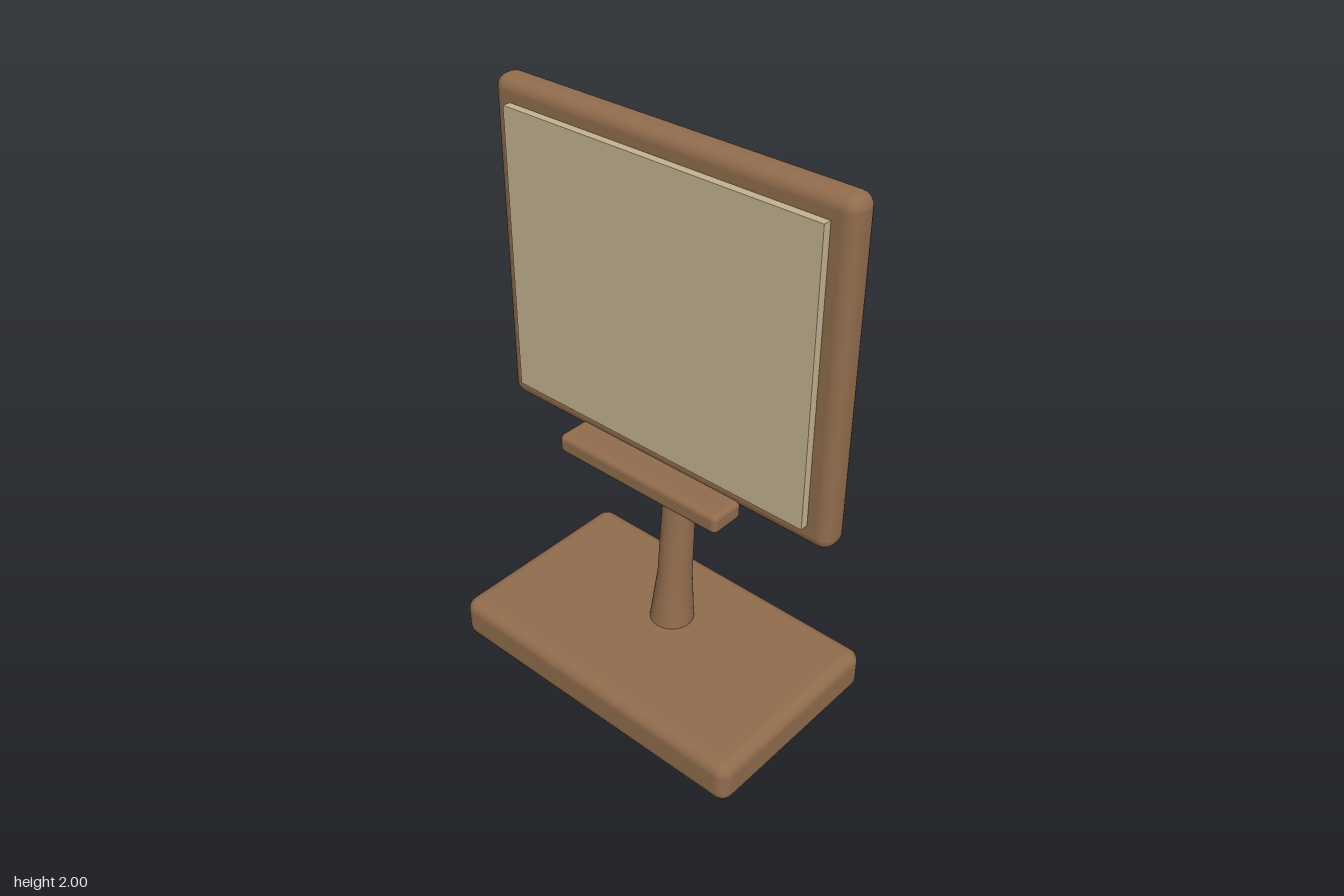
import * as THREE from 'three';
import { RoundedBoxGeometry } from 'three/addons/geometries/RoundedBoxGeometry.js';

const wood = new THREE.MeshStandardMaterial({ color: 0x916c4d });
wood.name = 'brown wood';
const paper = new THREE.MeshStandardMaterial({ color: 0xc2b28f });
paper.name = 'beige paper';

function addPart(group, name, geometry, material, x, y, z) {
  const mesh = new THREE.Mesh(geometry, material);
  mesh.name = name;
  mesh.position.set(x, y, z);
  group.add(mesh);
}

// Box with softened edges, given by its y and z extents and centred on x
function addSlab(group, name, width, [y0, y1], [z0, z1], radius) {
  const geometry = new RoundedBoxGeometry(width, y1 - y0, z1 - z0, 3, radius);
  addPart(group, name, geometry, wood, 0, (y0 + y1) / 2, (z0 + z1) / 2);
}

// Round tapered post whose rings [y, centre z, radius] drift backwards
function postGeometry(rings) {
  const bottom = rings[0][0];
  const height = rings[rings.length - 1][0] - bottom;
  const sides = 32;
  const geometry = new THREE.CylinderGeometry(1, 1, height, sides, rings.length - 1);
  const p = geometry.attributes.position;
  for (let i = 0; i < p.count; i++) {
    // Rows of the wall run from top to bottom, then the two caps follow
    const wallCount = (sides + 1) * rings.length;
    const row = i < wallCount
      ? rings.length - 1 - Math.floor(i / (sides + 1))
      : p.getY(i) > 0 ? rings.length - 1 : 0;
    const [y, z, r] = rings[row];
    const dz = p.getZ(i) * r;
    p.setXYZ(i, p.getX(i) * r, y + dz * 0.06, z + dz);
  }
  geometry.computeVertexNormals();
  // Close the shading seam where the wall meets itself
  const n = geometry.attributes.normal;
  for (let row = 0; row < rings.length; row++) {
    const a = row * (sides + 1), b = a + sides;
    const v = new THREE.Vector3().fromBufferAttribute(n, a)
      .add(new THREE.Vector3().fromBufferAttribute(n, b)).normalize();
    n.setXYZ(a, v.x, v.y, v.z);
    n.setXYZ(b, v.x, v.y, v.z);
  }
  return geometry;
}

export function createModel() {
  const model = new THREE.Group();
  model.name = 'bookStand';

  // Heavy foot
  addSlab(model, 'base', 1.22, [0, 0.16], [-0.372, 0.372], 0.045);

  // Leaning post with a flared foot
  const post = postGeometry([
    [0.14, -0.068, 0.08],
    [0.35, -0.084, 0.061],
    [0.65, -0.102, 0.057],
    [0.95, -0.121, 0.053],
  ]);
  addPart(model, 'post', post, wood, 0, 0, 0);

  // Upright board and the ledge below it
  addSlab(model, 'backBoard', 1.35, [0.85, 2], [-0.095, 0.01], 0.045);
  addSlab(model, 'ledge', 0.674, [0.81, 0.88], [-0.01, 0.12], 0.02);

  // Sheet resting on the board
  addPart(model, 'sheet', new THREE.BoxGeometry(1.194, 0.994, 0.04), paper, 0, 1.427, 0.018);

  return model;
}
